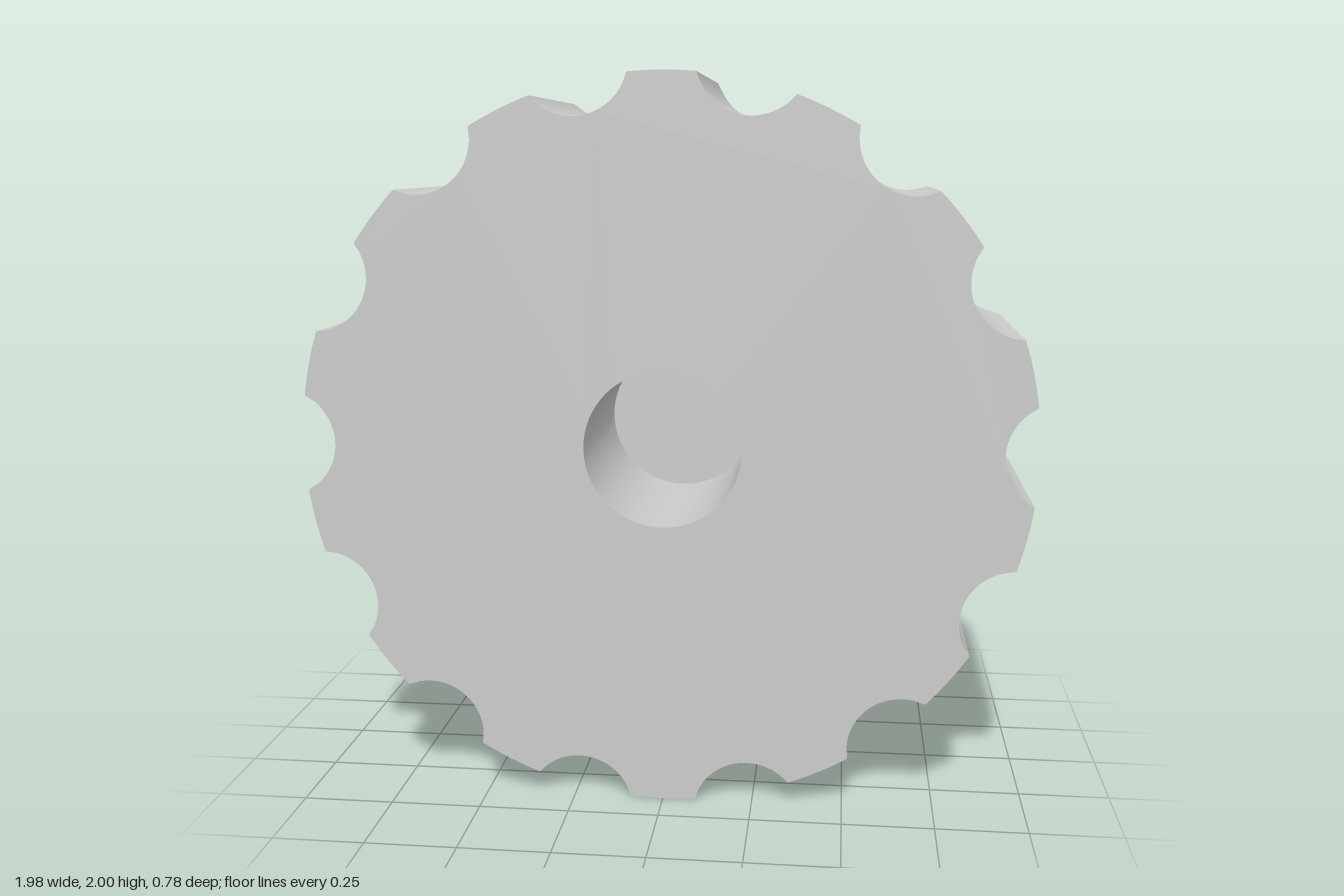
import * as THREE from 'three';

const FLUTES = 14, PITCH = (Math.PI * 2) / FLUTES;
const FLUTE_DIST = 1.06, FLUTE_R = 0.15;      // flute axis distance and radius
const HALF = 0.39, FILLET = 0.13, FLAT_R = 1 - FILLET;
const BORE_R = 0.215, BORE_DEPTH = 0.55;
const LAND_SEGS = 8, FLUTE_SEGS = 18;

// Half angle a flute takes up on a circle of radius r
function fluteHalfAngle(r) {
  const c = (r * r + FLUTE_DIST ** 2 - FLUTE_R ** 2) / (2 * FLUTE_DIST * r);
  return Math.acos(Math.min(1, c));
}

// Distance from the knob axis to the flute wall at angle t from the flute centre
function fluteWall(t) {
  return FLUTE_DIST * Math.cos(t) - Math.sqrt(Math.max(0, FLUTE_R ** 2 - (FLUTE_DIST * Math.sin(t)) ** 2));
}

// Levels from the front rim, along the side and round the back fillet
function makeLevels() {
  const end = Math.acos((FLUTE_DIST - FLUTE_R - FLAT_R) / FILLET);   // where flutes run out
  const level = (phi) => {
    const r = FLAT_R + FILLET * Math.cos(phi);
    return { r, z: -HALF + FILLET - FILLET * Math.sin(phi), phi, a: fluteHalfAngle(r) };
  };
  const fluted = [{ ...level(0), z: HALF }];
  for (let i = 0; i <= 16; i++) fluted.push(level(end * Math.sin((i / 16) * Math.PI / 2)));
  const all = [...fluted];
  for (let i = 1; i <= 4; i++) all.push(level(end + (Math.PI / 2 - end) * (i / 4)));
  return { fluted, all };
}

// Surface patch through the levels; point(level, u) gives position and normal
function patch(levels, segs, point) {
  const pos = [], nor = [], idx = [], w = segs + 1;
  levels.forEach((lv, j) => {
    for (let i = 0; i <= segs; i++) {
      const [p, n] = point(lv, i / segs);
      pos.push(...p);
      nor.push(...n);
      if (j && i) {
        const d = j * w + i, c = d - 1, b = d - w, a = b - 1;
        idx.push(a, c, b, b, c, d);
      }
    }
  });
  const g = new THREE.BufferGeometry();
  g.setAttribute('position', new THREE.Float32BufferAttribute(pos, 3));
  g.setAttribute('normal', new THREE.Float32BufferAttribute(nor, 3));
  g.setIndex(idx);
  return g;
}

export function createModel() {
  const model = new THREE.Group();
  model.name = 'flutedKnob';
  const knob = new THREE.Group();
  knob.name = 'knob';
  knob.position.y = 1;
  model.add(knob);

  const material = new THREE.MeshStandardMaterial({ color: 0xcccccc });
  const add = (name, geometry, z = 0) => {
    const mesh = new THREE.Mesh(geometry, material);
    mesh.name = name;
    mesh.position.z = z;
    knob.add(mesh);
    return mesh;
  };

  const { fluted, all } = makeLevels();

  // Rim between two flutes, with its rounded back edge
  const land = patch(all, LAND_SEGS, (lv, u) => {
    const t = lv.a + (PITCH - 2 * lv.a) * u, c = Math.cos(t), s = Math.sin(t);
    const k = Math.cos(lv.phi);
    return [[lv.r * c, lv.r * s, lv.z], [k * c, k * s, -Math.sin(lv.phi)]];
  });

  // Scooped finger grip running out in the fillet
  const flute = patch(fluted, FLUTE_SEGS, (lv, u) => {
    const t = lv.a * (2 * u - 1), r = fluteWall(t);
    const x = r * Math.cos(t), y = r * Math.sin(t);
    return [[x, y, lv.z], [(FLUTE_DIST - x) / FLUTE_R, -y / FLUTE_R, 0]];
  });

  const outline = [];
  const rimAngle = fluted[0].a;
  for (let k = 0; k < FLUTES; k++) {
    add('rimLand', land).rotation.z = k * PITCH;
    add('gripFlute', flute).rotation.z = k * PITCH;
    const put = (r, t) => outline.push(new THREE.Vector2(r * Math.cos(t + k * PITCH), r * Math.sin(t + k * PITCH)));
    for (let i = 0; i < FLUTE_SEGS; i++) {
      const t = rimAngle * ((2 * i) / FLUTE_SEGS - 1);
      put(fluteWall(t), t);
    }
    for (let i = 0; i < LAND_SEGS; i++) put(1, rimAngle + (PITCH - 2 * rimAngle) * (i / LAND_SEGS));
  }

  // Flat front with the bore opening
  const front = new THREE.Shape(outline);
  front.holes.push(new THREE.Path().absarc(0, 0, BORE_R, 0, Math.PI * 2, true));
  add('frontFace', new THREE.ShapeGeometry(front, 32), HALF);

  // Flat back
  add('backFace', new THREE.CircleGeometry(FLAT_R, FLUTES * LAND_SEGS), -HALF).rotation.y = Math.PI;

  // Blind shaft bore
  const wall = new THREE.CylinderGeometry(BORE_R, BORE_R, BORE_DEPTH, 64, 1, true).rotateX(Math.PI / 2);
  const boreWall = add('boreWall', wall, HALF - BORE_DEPTH / 2);
  boreWall.material = new THREE.MeshStandardMaterial({ color: 0xcccccc, side: THREE.DoubleSide });
  add('boreFloor', new THREE.CircleGeometry(BORE_R, 64), HALF - BORE_DEPTH);

  return model;
}
